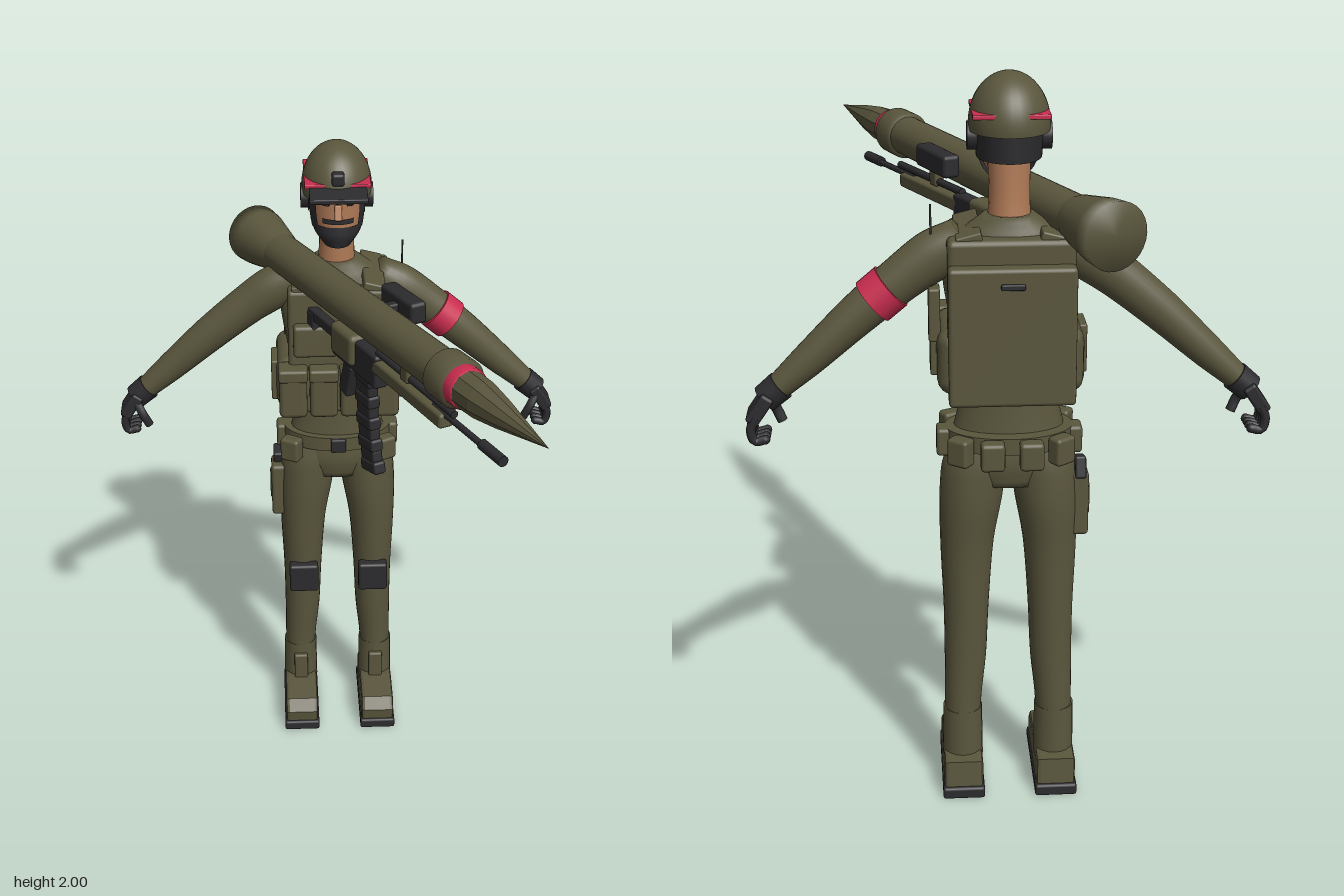
import * as THREE from 'three';
import { RoundedBoxGeometry } from 'three/addons/geometries/RoundedBoxGeometry.js';

const mat = (name, color, side = THREE.FrontSide) =>
  Object.assign(new THREE.MeshStandardMaterial({ color, side }), { name });

export function createModel() {
  const olive = mat('olive', 0x5a563d, THREE.DoubleSide);
  const dark = mat('charcoal', 0x2c2c2f, THREE.DoubleSide);
  const red = mat('red', 0xcb2d50);
  const skin = mat('skin', 0xb17b57);
  const root = new THREE.Group();

  const add = (name, geo, m, pos = [0, 0, 0], rot = [0, 0, 0], parent = root) => {
    const mesh = new THREE.Mesh(geo, m);
    mesh.name = name;
    mesh.position.set(...pos);
    mesh.rotation.set(...rot);
    parent.add(mesh);
    return mesh;
  };
  const box = (name, m, size, pos, rot, parent) =>
    add(name, new RoundedBoxGeometry(...size, 2, Math.min(...size) * 0.22), m, pos, rot, parent);
  const tube = (name, m, pts, r, parent) => add(name, new THREE.TubeGeometry(
    new THREE.CatmullRomCurve3(pts.map(p => new THREE.Vector3(...p))), 12, r, 8), m, undefined, undefined, parent);

  // Smooth skin through elliptical rings [x, y, z, rx, rz], listed upwards; a0..a1 makes an open arc
  function loft(rings, a0 = 0, a1 = Math.PI * 2, n = 24) {
    const centre = new THREE.CatmullRomCurve3(rings.map(r => new THREE.Vector3(r[0], r[1], r[2])));
    const radii = new THREE.CatmullRomCurve3(rings.map(r => new THREE.Vector3(r[3], r[4], 0)));
    const closed = a1 - a0 > 6.28, steps = (rings.length - 1) * 4, cols = closed ? n : n + 1;
    const pos = [], idx = [];
    for (let i = 0; i <= steps; i++) {
      const c = centre.getPoint(i / steps), r = radii.getPoint(i / steps);
      for (let j = 0; j < cols; j++) {
        const a = a0 + (a1 - a0) * j / n;
        pos.push(c.x + r.x * Math.cos(a), c.y, c.z + r.y * Math.sin(a));
        if (i === steps || j === n) continue;
        const p = i * cols + j, q = i * cols + (j + 1) % cols;
        idx.push(p, p + cols, q, q, p + cols, q + cols);
      }
    }
    if (closed) [0, steps].forEach((row, top) => {
      const c = centre.getPoint(row / steps), k = pos.length / 3;
      pos.push(c.x, c.y, c.z);
      for (let j = 0; j < n; j++) {
        const p = row * cols + j, q = row * cols + (j + 1) % cols;
        idx.push(k, ...(top ? [q, p] : [p, q]));
      }
    });
    const g = new THREE.BufferGeometry();
    g.setAttribute('position', new THREE.Float32BufferAttribute(pos, 3));
    g.setIndex(idx);
    g.computeVertexNormals();
    return g;
  }

  // Torso and neck
  add('torso', loft([[0, 0.93, -0.505, 0.12, 0.08], [0, 1, -0.505, 0.165, 0.092], [0, 1.08, -0.505, 0.145, 0.085],
    [0, 1.2, -0.505, 0.122, 0.08], [0, 1.36, -0.5, 0.15, 0.1], [0, 1.5, -0.51, 0.17, 0.1],
    [0, 1.6, -0.51, 0.13, 0.075], [0, 1.65, -0.51, 0.065, 0.06]]), olive);
  add('neck', loft([[0, 1.6, -0.51, 0.058, 0.058], [0, 1.7, -0.505, 0.052, 0.054], [0, 1.83, -0.5, 0.055, 0.055]]), skin);

  // Head and face
  const F = Math.PI / 2;
  add('head', loft([[0, 1.725, -0.44, 0.032, 0.045], [0, 1.76, -0.452, 0.06, 0.068], [0, 1.81, -0.475, 0.076, 0.094],
    [0, 1.87, -0.485, 0.08, 0.105], [0, 1.93, -0.49, 0.07, 0.09]]), skin);
  add('beard', loft([[0, 1.72, -0.44, 0.04, 0.052], [0, 1.755, -0.45, 0.066, 0.072],
    [0, 1.785, -0.465, 0.077, 0.085]], -0.25, Math.PI + 0.25), dark);
  add('moustache', loft([[0, 1.797, -0.47, 0.078, 0.096], [0, 1.812, -0.474, 0.08, 0.1]], F - 0.6, F + 0.6), dark);
  box('nose', skin, [0.022, 0.045, 0.028], [0, 1.832, -0.377], [-0.3, 0, 0]);
  for (const s of [-1, 1]) {
    add('sideburn', loft([[0, 1.77, -0.46, 0.074, 0.082], [0, 1.82, -0.475, 0.082, 0.099],
      [0, 1.88, -0.484, 0.086, 0.108]], F - s * 1.15 - 0.3, F - s * 1.15 + 0.3, 8), dark);
    box('eyebrow', dark, [0.036, 0.007, 0.008], [s * 0.034, 1.869, -0.388], [0, s * 0.35, 0]);
    box('eye', dark, [0.02, 0.008, 0.008], [s * 0.034, 1.853, -0.389], [0, s * 0.35, 0]);
    add('earCup', new THREE.CylinderGeometry(0.036, 0.036, 0.034, 16), dark, [s * 0.088, 1.842, -0.495], [0, 0, F]);
  }
  add('headsetBand', loft([[0, 1.79, -0.49, 0.082, 0.112], [0, 1.855, -0.49, 0.087, 0.115]], Math.PI, Math.PI * 2), dark);

  // Helmet
  const dome = add('helmet', new THREE.SphereGeometry(1, 32, 18, 0, Math.PI * 2, 0, F + 0.12), olive, [0, 1.872, -0.498]);
  dome.scale.set(0.102, 0.128, 0.122);
  box('helmetMarker', red, [0.19, 0.012, 0.215], [0, 1.905, -0.497]);
  box('visorPlate', dark, [0.165, 0.014, 0.085], [0, 1.893, -0.352], [0.08, 0, 0]);
  box('visorMount', dark, [0.036, 0.036, 0.036], [0, 1.93, -0.385]);

  // Vest, pouches and backpack
  box('chestPlate', olive, [0.3, 0.4, 0.06], [0, 1.4, -0.385]);
  box('cummerbund', olive, [0.374, 0.175, 0.245], [0, 1.283, -0.492]);
  box('backPlate', olive, [0.32, 0.42, 0.07], [0, 1.395, -0.585]);
  box('backpack', olive, [0.32, 0.36, 0.05], [0, 1.365, -0.637]);
  box('backpackHandle', dark, [0.06, 0.015, 0.02], [0, 1.5, -0.66]);
  for (let i = 0; i < 4; i++) {
    const x = -0.138 + i * 0.092;
    box('magazinePouch', olive, [0.084, 0.15, 0.07], [x, 1.28, -0.345]);
    box('pouchFlap', olive, [0.088, 0.04, 0.076], [x, 1.345, -0.345]);
  }
  box('chestPouch', olive, [0.09, 0.12, 0.06], [0.1, 1.45, -0.35]);
  box('chestPouch', olive, [0.13, 0.1, 0.05], [-0.07, 1.45, -0.35]);
  box('chestPatch', red, [0.06, 0.045, 0.009], [0.105, 1.45, -0.317]);
  box('radio', olive, [0.03, 0.14, 0.06], [0.192, 1.4, -0.54]);
  add('antenna', new THREE.CylinderGeometry(0.003, 0.003, 0.24, 6), dark, [0.198, 1.56, -0.54]);

  // Belt
  const belt = add('belt', new THREE.CylinderGeometry(1, 1, 0.045, 32), olive, [0, 1.062, -0.513]);
  belt.scale.set(0.168, 1, 0.115);
  box('buckle', dark, [0.046, 0.045, 0.02], [0, 1.062, -0.396]);

  for (const s of [-1, 1]) {
    box('shoulderStrap', olive, [0.065, 0.024, 0.25], [s * 0.105, 1.605, -0.485], [0, 0, -s * 0.25]);
    box('sidePouch', olive, [0.025, 0.13, 0.1], [s * 0.19, 1.285, -0.46]);
    [[0.145, -0.41, 0.5], [0.168, -0.52, F], [0.13, -0.61, 2.5], [0.05, -0.645, Math.PI]].forEach(([x, z, a]) =>
      box('beltPouch', olive, [0.062, 0.075, 0.045], [s * x, 1.047, z], [0, s * a, 0]));

    // Legs, knee pads and boots
    add('leg', loft([[s * 0.127, 0.08, -0.513, 0.049, 0.053], [s * 0.126, 0.25, -0.513, 0.05, 0.054],
      [s * 0.118, 0.4, -0.508, 0.057, 0.06], [s * 0.115, 0.55, -0.506, 0.061, 0.067],
      [s * 0.111, 0.75, -0.503, 0.072, 0.08], [s * 0.1, 0.88, -0.505, 0.084, 0.09],
      [s * 0.09, 0.97, -0.505, 0.087, 0.09], [s * 0.075, 1.04, -0.505, 0.075, 0.08]]), olive);
    box('kneePad', dark, [0.094, 0.1, 0.04], [s * 0.113, 0.55, -0.43]);
    add('bootCuff', new THREE.CylinderGeometry(0.054, 0.056, 0.16, 20), olive, [s * 0.127, 0.165, -0.513]);
    box('bootTongue', olive, [0.045, 0.14, 0.03], [s * 0.127, 0.14, -0.46]);
    const side = new THREE.Shape([[-0.595, 0.03], [-0.325, 0.03], [-0.32, 0.07], [-0.345, 0.098], [-0.45, 0.108],
      [-0.59, 0.1]].map(p => new THREE.Vector2(...p)));
    const foot = new THREE.ExtrudeGeometry(side, { depth: 0.084, bevelSize: 0.01, bevelThickness: 0.012, bevelSegments: 2 });
    add('boot', foot.translate(0, 0, -0.042).rotateY(-F), olive, [s * 0.128, 0, 0]);
    box('sole', dark, [0.116, 0.034, 0.31], [s * 0.128, 0.017, -0.46]);

    // Arms hang along their local -y
    const arm = new THREE.Group();
    arm.name = s > 0 ? 'leftArm' : 'rightArm';
    arm.position.set(s * 0.19, 1.545, -0.515);
    arm.rotation.z = s * 0.87;
    root.add(arm);
    add('sleeve', loft([[0, -0.56, -0.018, 0.031, 0.033], [s * 0.004, -0.42, -0.015, 0.044, 0.042],
      [s * 0.01, -0.25, -0.008, 0.054, 0.049], [s * 0.008, -0.1, -0.004, 0.06, 0.052],
      [0, 0, 0, 0.066, 0.056], [-s * 0.01, 0.09, 0, 0.05, 0.05]]), olive, undefined, undefined, arm);
    add('gloveCuff', new THREE.CylinderGeometry(0.04, 0.038, 0.055, 16), dark, [0, -0.545, -0.018], undefined, arm);
    if (s > 0) add('armband', new THREE.CylinderGeometry(0.063, 0.063, 0.062, 24), red, [0.01, -0.165, -0.005], undefined, arm);

    // Half-closed gloved hands
    box('palm', dark, [0.036, 0.085, 0.092], [s * 0.64, 1.158, -0.536], [0, 0, s * 0.6]);
    for (let i = 0; i < 4; i++) {
      const z = -0.502 - i * 0.0235;
      tube('finger', dark, [[s * 0.65, 1.14, z], [s * 0.664, 1.105, z], [s * 0.655, 1.074, z], [s * 0.628, 1.078, z]], 0.0125);
      add('fingertip', new THREE.SphereGeometry(0.0125, 8, 6), dark, [s * 0.628, 1.078, z]);
    }
    tube('thumb', dark, [[s * 0.625, 1.17, -0.505], [s * 0.605, 1.135, -0.488], [s * 0.588, 1.098, -0.492]], 0.014);
  }

  // Thigh holster
  box('holster', olive, [0.05, 0.18, 0.085], [-0.186, 0.86, -0.505]);
  box('holsterPouch', olive, [0.03, 0.09, 0.05], [-0.2, 0.87, -0.505]);
  box('pistolGrip', dark, [0.03, 0.06, 0.055], [-0.188, 0.96, -0.52], [0.25, 0, 0]);

  // Weapons share one yaw; local z runs to the muzzle
  const weapons = new THREE.Group();
  weapons.name = 'weapons';
  weapons.position.set(0.095, 0, 0);
  weapons.rotation.y = 0.4415;
  root.add(weapons);
  const launcher = new THREE.Group();
  launcher.name = 'launcher';
  launcher.position.y = 1.663;
  launcher.rotation.x = -0.033;
  weapons.add(launcher);
  const lathe = (name, m, pts, n = 28) => add(name,
    new THREE.LatheGeometry(pts.map(p => new THREE.Vector2(...p)), n), m, undefined, [F, 0, 0], launcher);
  lathe('launchTube', olive, [[0.057, -0.7], [0.057, 0.36]]);
  lathe('rearFlare', olive, [[0, -0.79], [0.088, -0.79], [0.084, -0.74], [0.064, -0.63], [0.055, -0.6]]);
  lathe('collar', olive, [[0.055, 0.345], [0.068, 0.35], [0.068, 0.425], [0.05, 0.43]]);
  lathe('warheadRing', red, [[0.052, 0.425], [0.056, 0.427], [0.056, 0.46], [0.05, 0.462]]);
  const nose = new THREE.LatheGeometry([[0.052, 0.458], [0.05, 0.53], [0.037, 0.62], [0, 0.817]]
    .map(p => new THREE.Vector2(...p)), 10).toNonIndexed();
  nose.computeVertexNormals();
  add('warhead', nose, olive, undefined, [F, 0, 0], launcher);
  box('sight', dark, [0.05, 0.062, 0.175], [0.098, 0.026, -0.04], undefined, launcher);
  box('sightMount', dark, [0.04, 0.03, 0.03], [0.065, 0.02, -0.04], undefined, launcher);

  // Rifle slung below the launcher
  const rifle = new THREE.Group();
  rifle.name = 'rifle';
  weapons.add(rifle);
  const rod = (name, m, r, z0, z1, y) => add(name, new THREE.CylinderGeometry(r, r, z1 - z0, 12), m,
    [0, y, (z0 + z1) / 2], [F, 0, 0], rifle);
  rod('barrel', dark, 0.009, 0.3, 0.6, 1.558);
  rod('muzzleBrake', dark, 0.015, 0.535, 0.632, 1.56);
  rod('gasTube', dark, 0.011, 0, 0.4, 1.578);
  box('handguard', olive, [0.045, 0.042, 0.37], [0, 1.542, 0.18], undefined, rifle);
  box('launcherBracket', olive, [0.03, 0.06, 0.04], [0, 1.595, 0.16], undefined, rifle);
  box('receiver', dark, [0.045, 0.1, 0.26], [0, 1.525, -0.11], undefined, rifle);
  box('receiverCover', olive, [0.075, 0.095, 0.13], [0, 1.54, -0.16], undefined, rifle);
  box('grip', dark, [0.032, 0.11, 0.05], [0, 1.425, -0.17], [0.3, 0, 0], rifle);
  box('stockTube', dark, [0.03, 0.035, 0.27], [0, 1.535, -0.36], undefined, rifle);
  box('stock', dark, [0.035, 0.07, 0.13], [0, 1.51, -0.43], undefined, rifle);
  for (let i = 0; i < 9; i++) {
    const t = i / 8;
    box('magazineSegment', dark, [i % 2 ? 0.032 : 0.038, 0.038, i % 2 ? 0.078 : 0.088],
      [0, 1.475 - 0.265 * t, -0.065 + 0.04 * t * t], [-0.22 * t, 0, 0], rifle);
  }
  return root;
}
